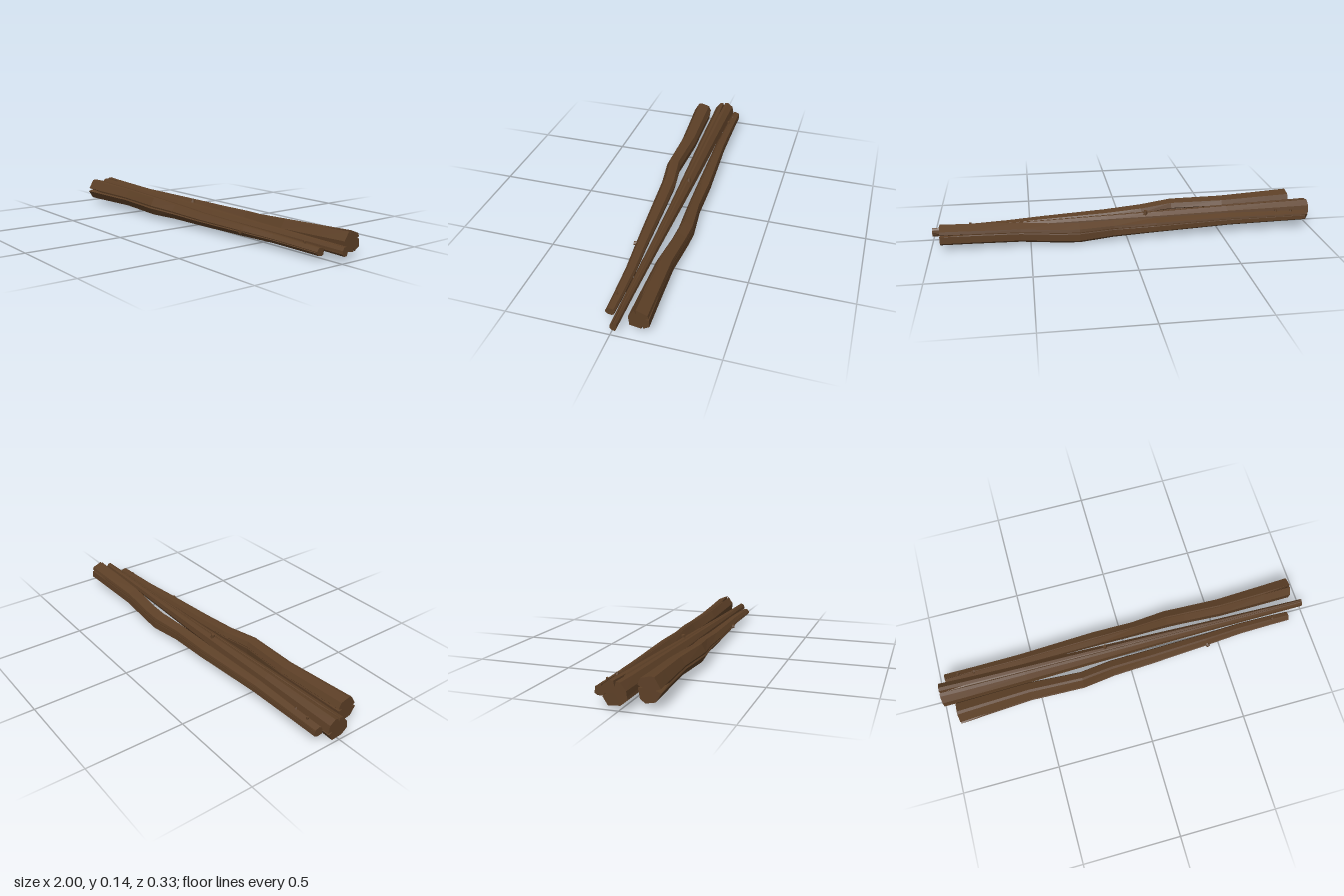
import * as THREE from 'three';

const bark = new THREE.MeshStandardMaterial({ color: 0x5c3f26, flatShading: true, roughness: 1 });

// Cross-sections in a unit box, [z, y], counter-clockwise seen from +x.
// A third value marks a split: how far that corner sinks in at the [-x, +x] ends.
const sections = {
  front: [[1, -0.15], [0.88, -0.02, [0.45, 0]], [0.93, 0.15], [0.4, 0.95], [0.1, 1], [-0.75, 0.8],
    [-1, 0.3], [-0.9, 0.2, [0.4, 0.35]], [-0.95, 0.08], [-0.8, -0.7], [-0.35, -1], [0.5, -0.85]].reverse(),
  middle: [[0.95, -0.2], [0.9, 0.25], [0.45, 0.85], [0.15, 0.92], [0.06, 0.86, [0.45, 0.3]], [-0.05, 0.95],
    [-0.35, 1], [-0.85, 0.6], [-1, -0.1], [-0.88, -0.2, [0.4, 0]], [-0.9, -0.32], [-0.5, -1], [0.45, -0.92], [1, -0.45]].reverse(),
  back: [[0.95, 0.1], [0.4, 0.9], [0.3, 0.88, [0.2, 0.4]], [0.2, 1], [-0.85, 0.6], [-0.93, 0.3],
    [-0.92, 0.2, [0, 0.3]], [-0.96, 0.1], [-1, -0.6], [-0.45, -0.95], [-0.37, -0.9, [0.3, 0.25]], [-0.25, -1], [0.85, -0.85]].reverse(),
};
for (const s of Object.values(sections)) s.reverse();

// Outline of each branch along its length: [x, z min, z max, y min, y max]
const branches = {
  front: [
    [-0.93, 0.055, 0.163, 0.02, 0.14], [-0.8, 0.052, 0.153, 0.021, 0.135], [-0.55, 0.045, 0.136, 0.025, 0.126],
    [-0.27, 0.06, 0.142, 0.018, 0.12], [-0.1, 0.037, 0.118, 0.02, 0.104], [0.1, 0.03, 0.106, 0.02, 0.09],
    [0.43, 0.02, 0.082, 0.022, 0.078], [0.62, 0.01, 0.066, 0.024, 0.07], [0.8, 0.01, 0.06, 0.022, 0.063], [0.905, 0.012, 0.058, 0.021, 0.059]],
  middle: [
    [-1, -0.077, 0.042, 0.02, 0.131], [-0.87, -0.073, 0.04, 0.02, 0.126], [-0.55, -0.066, 0.032, 0.022, 0.117],
    [-0.2, -0.06, 0.022, 0.025, 0.105], [0.1, -0.053, 0.013, 0.028, 0.096], [0.45, -0.044, 0.006, 0.033, 0.085],
    [0.8, -0.037, 0.003, 0.034, 0.078], [1, -0.034, 0, 0.03, 0.074]],
  back: [
    [-0.965, -0.123, -0.074, 0.045, 0.095], [-0.8, -0.123, -0.072, 0.042, 0.096], [-0.55, -0.126, -0.068, 0.038, 0.1],
    [-0.15, -0.146, -0.074, 0.026, 0.1], [0.07, -0.146, -0.078, 0.014, 0.1], [0.25, -0.164, -0.084, 0, 0.1],
    [0.35, -0.16, -0.08, 0.003, 0.1], [0.55, -0.149, -0.064, 0.015, 0.112], [0.8, -0.158, -0.064, 0.022, 0.121], [0.95, -0.164, -0.065, 0.025, 0.127]],
};

// Skins the rings of one branch and closes both ends
function branchGeometry(rings, section) {
  const last = rings.length - 1, n = section.length;
  const loops = rings.map(([x, z0, z1, y0, y1], r) => section.map(([u, v, split]) => {
    const sink = 1 - (split ? (r === 0 ? split[0] : r === last ? split[1] : 0) : 0);
    return [x, (y0 + y1) / 2 + v * sink * (y1 - y0) / 2, (z0 + z1) / 2 + u * sink * (z1 - z0) / 2];
  }));
  const middles = rings.map(([x, z0, z1, y0, y1]) => [x, (y0 + y1) / 2, (z0 + z1) / 2]);
  const pos = [];
  const tri = (a, b, c) => pos.push(...a, ...b, ...c);
  for (let i = 0; i < n; i++) {
    const j = (i + 1) % n;
    for (let r = 0; r < last; r++) {
      const a = loops[r][i], b = loops[r + 1][i], c = loops[r + 1][j], d = loops[r][j];
      tri(a, c, b);
      tri(a, d, c);
    }
    tri(middles[last], loops[last][i], loops[last][j]);
    tri(middles[0], loops[0][j], loops[0][i]);
  }
  const g = new THREE.BufferGeometry();
  g.setAttribute('position', new THREE.Float32BufferAttribute(pos, 3));
  // Every section must run counter-clockwise seen from +x
  const area = section.reduce((s, [u, v], i) => {
    const [p, q] = section[(i + 1) % n];
    return s + (v * p - u * q);
  }, 0);
  if (area < 0) {
    const p = g.attributes.position;
    for (let i = 0; i < p.count; i += 3) {
      const b = [p.getX(i + 1), p.getY(i + 1), p.getZ(i + 1)];
      p.setXYZ(i + 1, p.getX(i + 2), p.getY(i + 2), p.getZ(i + 2));
      p.setXYZ(i + 2, ...b);
    }
  }
  g.computeVertexNormals();
  return g;
}

// Small twig stubs: [x, y, z, direction, radius]
const knots = [
  [-0.11, 0.104, -0.035, [-0.2, 1, -0.1], 0.013],
  [0.43, 0.05, 0.08, [0.2, 0, 1], 0.013],
  [0.81, 0.06, 0.035, [0, 1, 0.2], 0.008],
  [-0.89, 0.093, -0.098, [-0.2, 1, 0], 0.008],
  [-0.81, 0.093, -0.09, [0.2, 1, 0.2], 0.01],
];

export function createModel() {
  const model = new THREE.Group();
  model.name = 'branches';
  for (const [name, rings] of Object.entries(branches)) {
    const mesh = new THREE.Mesh(branchGeometry(rings, sections[name]), bark);
    mesh.name = name + 'Branch';
    model.add(mesh);
  }
  const up = new THREE.Vector3(0, 1, 0);
  knots.forEach(([x, y, z, dir, r], i) => {
    const knot = new THREE.Mesh(new THREE.CylinderGeometry(r * 0.75, r, 0.022, 6), bark);
    knot.name = 'knot' + (i + 1);
    knot.position.set(x, y, z);
    knot.quaternion.setFromUnitVectors(up, new THREE.Vector3(...dir).normalize());
    model.add(knot);
  });
  return model;
}
